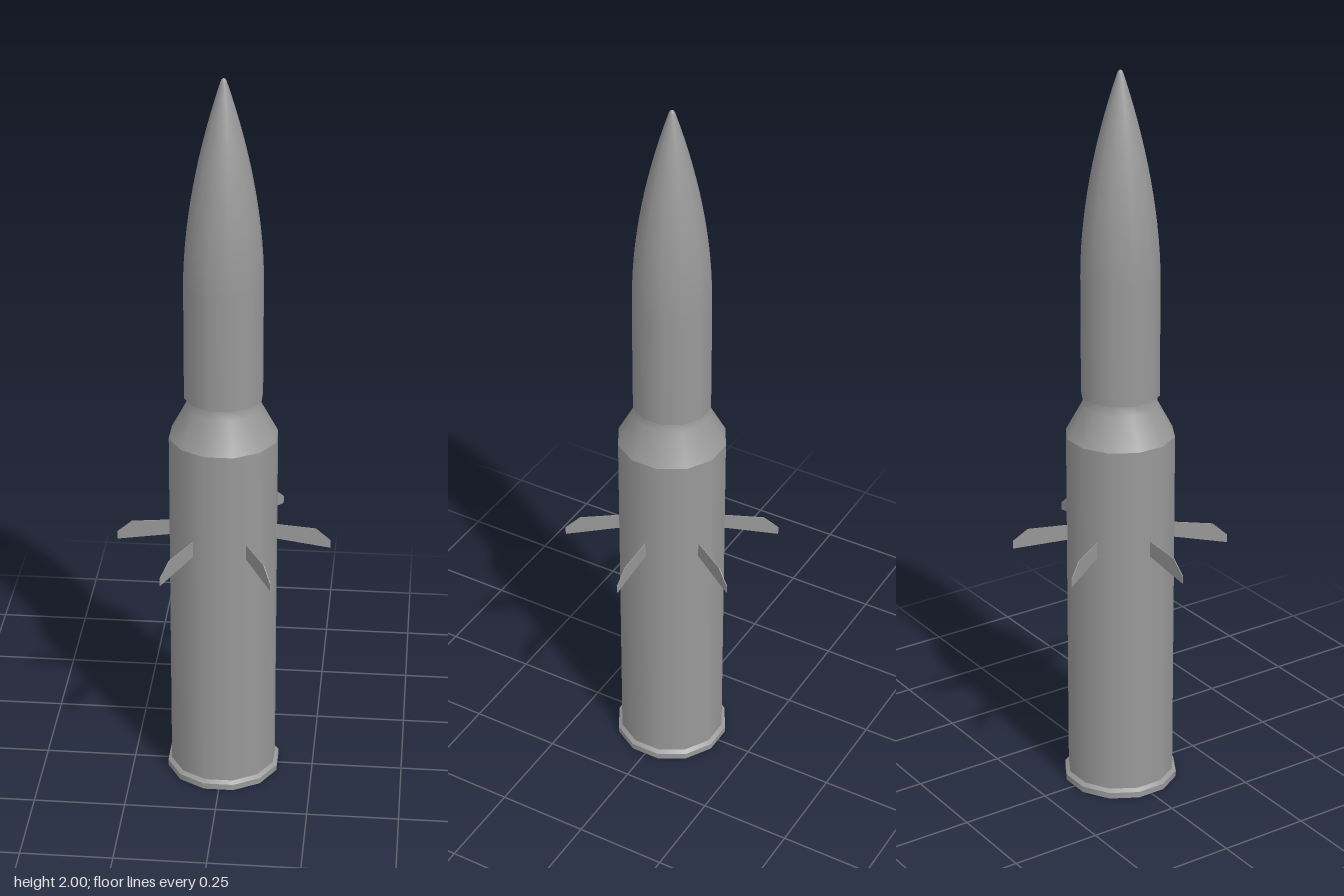
import * as THREE from 'three';
import { mergeGeometries } from 'three/addons/utils/BufferGeometryUtils.js';

const SIDES = 12;
const material = new THREE.MeshStandardMaterial({ color: 0x999999 });

// Twelve-sided turned part. Radii are measured to the flats; every band is
// smooth within itself and keeps a sharp edge to the next band.
function turned(name, bands) {
  const parts = bands.map((band) => new THREE.LatheGeometry(
    band.map(([r, y]) => new THREE.Vector2(r / Math.cos(Math.PI / SIDES), y)),
    SIDES, Math.PI / SIDES));
  const mesh = new THREE.Mesh(mergeGeometries(parts), material);
  mesh.name = name;
  return mesh;
}

export function createModel() {
  const model = new THREE.Group();
  model.name = 'finnedCartridge';

  // Base rim with a small chamfer
  model.add(turned('rim', [
    [[0, 0], [0.152, 0]],
    [[0.152, 0], [0.152, 0.017]],
    [[0.152, 0.017], [0.142, 0.025]],
  ]));

  // Straight case, sloping shoulder and short neck
  model.add(turned('case', [
    [[0.142, 0.025], [0.142, 1.02]],
    [[0.142, 1.02], [0.098, 1.105], [0.095, 1.132]],
  ]));

  // Projectile: flat underside, straight body, curved nose and blunt tip
  const nose = [[0.102, 1.133], [0.102, 1.45]];
  for (let i = 1; i <= 14; i++) {
    const t = (i / 14) * 0.955;
    nose.push([0.102 * (1 - t ** 1.85), 1.45 + 0.565 * t]);
  }
  nose.push([0.005, 1.997], [0, 2]);
  model.add(turned('projectile', [
    [[0.09, 1.131], [0.102, 1.133]],
    nose,
  ]));

  // Six thin swept fins around the case
  const outline = new THREE.Shape([
    [0.138, 0.715], [0.289, 0.693], [0.289, 0.715], [0.249, 0.749], [0.138, 0.758],
  ].map(([x, y]) => new THREE.Vector2(x, y)));
  const thickness = 0.002;
  const finGeometry = new THREE.ExtrudeGeometry(outline, { depth: thickness, bevelEnabled: false });
  finGeometry.translate(0, 0, -thickness / 2);

  const fins = new THREE.Group();
  fins.name = 'fins';
  for (let i = 0; i < 6; i++) {
    const fin = new THREE.Mesh(finGeometry, material);
    fin.name = `fin${i + 1}`;
    fin.rotation.y = (i * Math.PI) / 3;
    fins.add(fin);
  }
  model.add(fins);

  return model;
}
